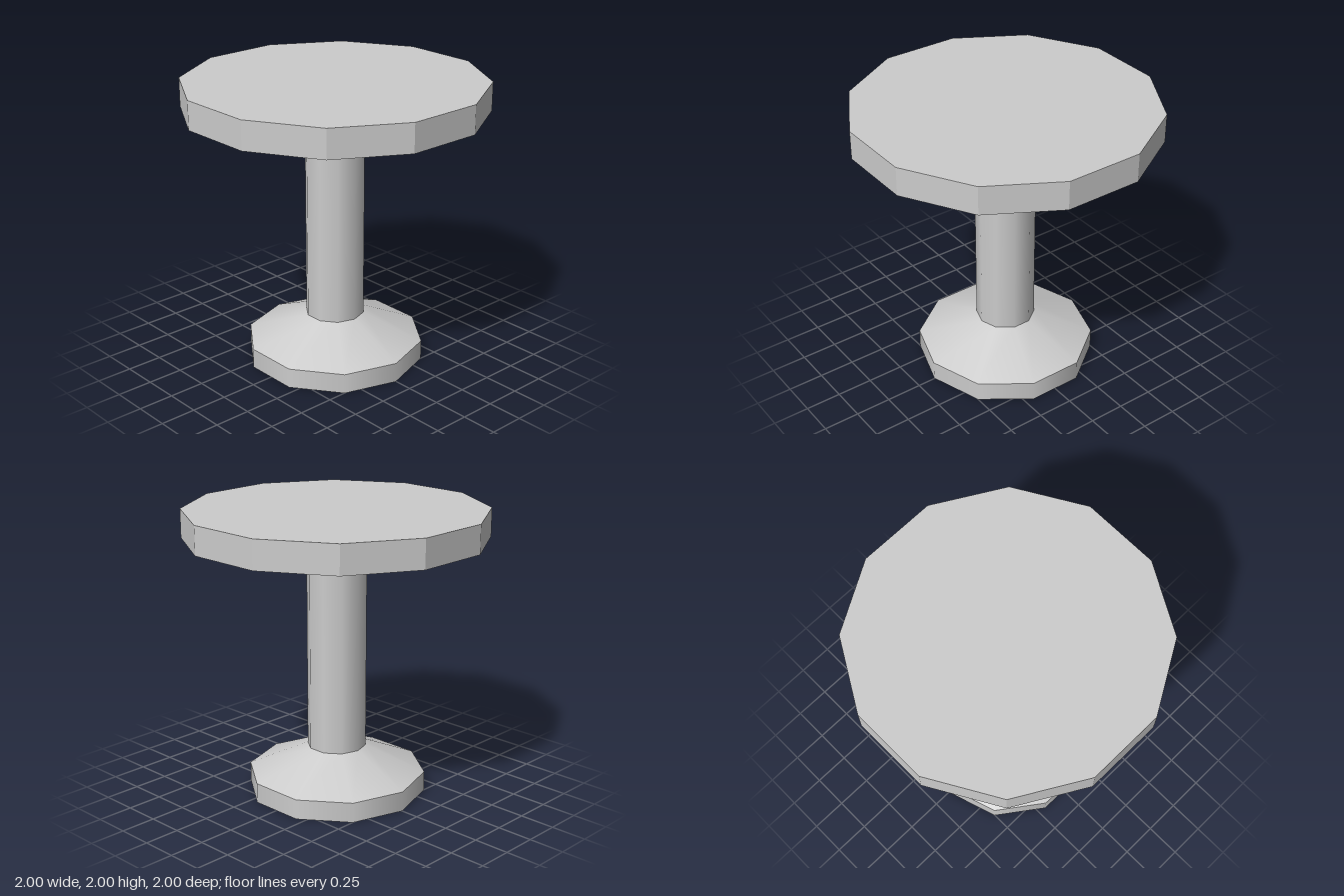
import * as THREE from 'three';

export function createModel() {
  const group = new THREE.Group();
  // every part is an open thin shell, so both faces show
  const grey = new THREE.MeshStandardMaterial({ color: 0xcccccc, side: THREE.DoubleSide });
  grey.name = 'grey';

  // open ring between two heights
  function band(name, rBottom, rTop, y0, y1, sides, parent) {
    const geometry = new THREE.CylinderGeometry(rTop, rBottom, y1 - y0, sides, 1, true);
    const mesh = new THREE.Mesh(geometry, grey);
    mesh.name = name;
    mesh.position.y = (y0 + y1) / 2;
    parent.add(mesh);
    return mesh;
  }

  // ten-sided hollow pedestal, smooth around each band
  const pedestal = new THREE.Group();
  pedestal.name = 'pedestal';
  pedestal.position.x = -0.003;
  band('baseRim', 0.62, 0.62, 0, 0.14, 10, pedestal);
  band('baseSlope', 0.62, 0.205, 0.14, 0.322, 10, pedestal);
  band('column', 0.205, 0.205, 0.322, 1.64, 10, pedestal);
  band('topFlare', 0.205, 0.515, 1.64, 1.803, 10, pedestal);
  group.add(pedestal);

  // twelve-sided table top with flat sides, open underneath
  const table = new THREE.Group();
  table.name = 'tableTop';
  table.rotation.y = Math.PI / 12;
  const radius = 1 / Math.cos(Math.PI / 12);
  const edge = band('tableEdge', radius, radius, 1.803, 2, 12, table);
  edge.geometry = edge.geometry.toNonIndexed();
  edge.geometry.computeVertexNormals();
  const face = new THREE.Mesh(new THREE.CircleGeometry(radius, 12), grey);
  face.name = 'tableFace';
  face.rotation.x = -Math.PI / 2;
  face.position.y = 2;
  table.add(face);
  group.add(table);

  return group;
}
